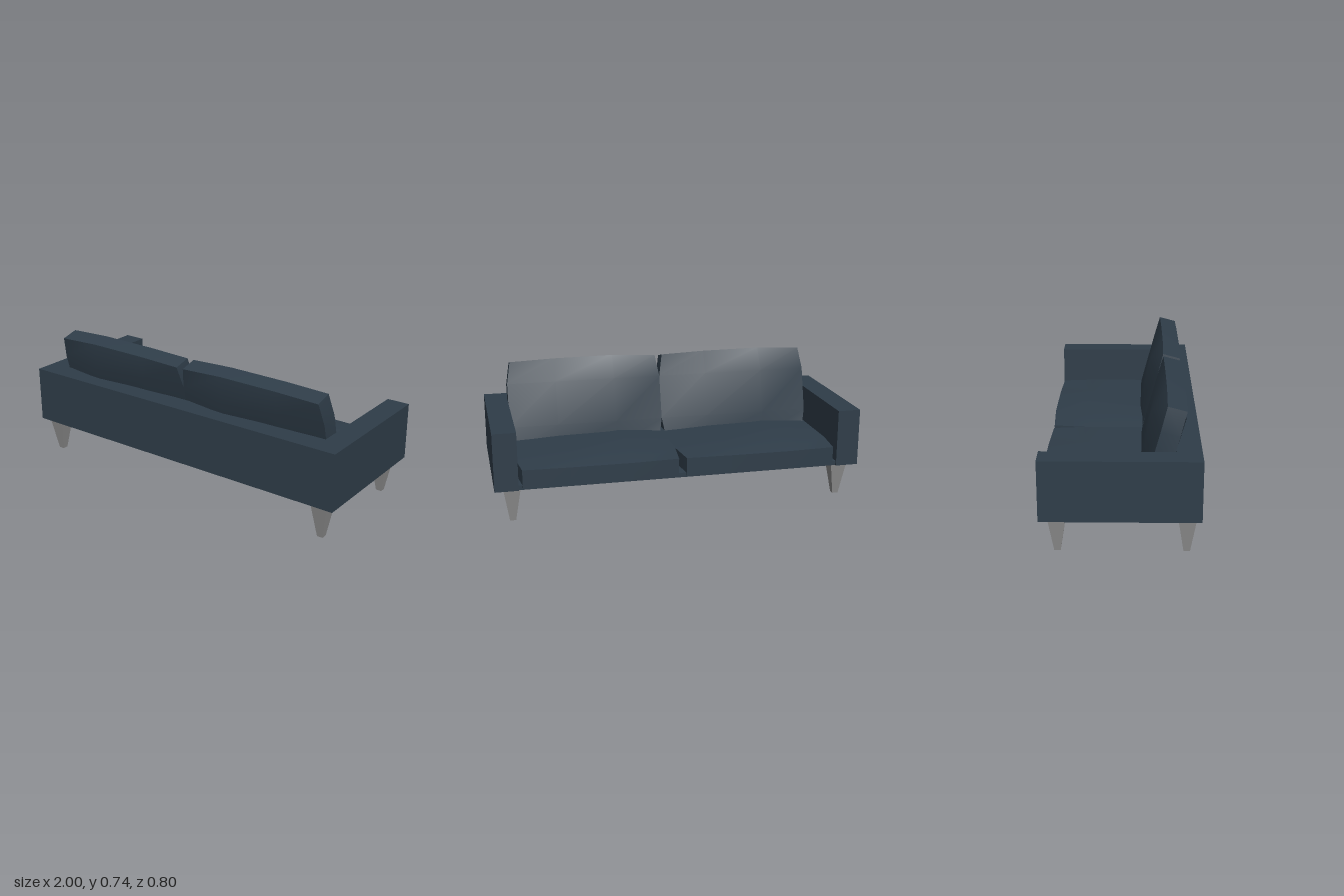
import * as THREE from 'three';

const fabric = new THREE.MeshStandardMaterial({ color: 0x2f3d49 });
fabric.name = 'slate blue fabric';
const metal = new THREE.MeshStandardMaterial({ color: 0x8e8e8e });
metal.name = 'grey leg';

// Box given by its min and max corners
function block(name, x0, x1, y0, y1, z0, z1) {
  const mesh = new THREE.Mesh(new THREE.BoxGeometry(x1 - x0, y1 - y0, z1 - z0), fabric);
  mesh.position.set((x0 + x1) / 2, (y0 + y1) / 2, (z0 + z1) / 2);
  mesh.name = name;
  return mesh;
}

// Puffed cushion: visible end at z = 0, running to z = depth, swollen off-centre
function cushionGeometry(width, depth) {
  const columns = [0, 0.31, 0.69, 1];
  const rows = [0, 0.25, 0.75, 1];
  const endBulge = [0, 0.012, 0.009, 0];
  const geo = new THREE.BoxGeometry(3, 2, 3, 3, 1, 3);
  const p = geo.attributes.position;
  for (let k = 0; k < p.count; k++) {
    const i = Math.round(p.getX(k) + 1.5);
    const j = Math.round(p.getZ(k) + 1.5);
    const innerX = i === 1 || i === 2;
    const innerZ = j === 1 || j === 2;
    let half = 0.049;
    if (innerX && innerZ) half = i === 1 ? (j === 1 ? 0.091 : 0.071) : 0.064;
    let x = (columns[i] - 0.5) * width;
    if (!innerX && !innerZ) x -= Math.sign(x) * 0.021; // pinched corners
    let z = rows[j] * depth;
    if (j === 0) z -= endBulge[i];
    if (j === 3) z += endBulge[i];
    p.setXYZ(k, x, Math.sign(p.getY(k)) * half, z);
  }
  geo.computeVertexNormals();
  return geo;
}

export function createModel() {
  const sofa = new THREE.Group();
  sofa.name = 'sofa';

  // Frame
  sofa.add(
    block('rightArm', -1, -0.875, 0.19, 0.505, -0.39, 0.4),
    block('leftArm', 0.875, 1, 0.19, 0.505, -0.39, 0.275),
    block('backPanel', -0.875, 1, 0.19, 0.505, 0.275, 0.4),
    block('seatBase', -0.875, 0.875, 0.19, 0.215, -0.38, 0.275)
  );

  // Seat and back cushions
  const seatGeo = cushionGeometry(0.875, 0.73);
  const backGeo = cushionGeometry(0.875, 0.49);
  for (const x of [-0.4375, 0.4375]) {
    const seat = new THREE.Mesh(seatGeo, fabric);
    seat.name = 'seatCushion';
    seat.position.set(x, 0.25, -0.387);
    const back = new THREE.Mesh(backGeo, fabric);
    back.name = 'backCushion';
    back.position.set(x, 0.715, 0.277);
    back.rotation.x = THREE.MathUtils.degToRad(105);
    sofa.add(seat, back);
  }

  // Tapered square legs
  const legGeo = new THREE.CylinderGeometry(0.046 * Math.SQRT2, 0.016 * Math.SQRT2, 0.19, 4).toNonIndexed();
  legGeo.rotateY(Math.PI / 4);
  legGeo.computeVertexNormals();
  for (const x of [-0.908, 0.908]) {
    for (const z of [-0.304, 0.332]) {
      const leg = new THREE.Mesh(legGeo, metal);
      leg.name = z < 0 ? 'frontLeg' : 'backLeg';
      leg.position.set(x, 0.095, z);
      sofa.add(leg);
    }
  }
  return sofa;
}
